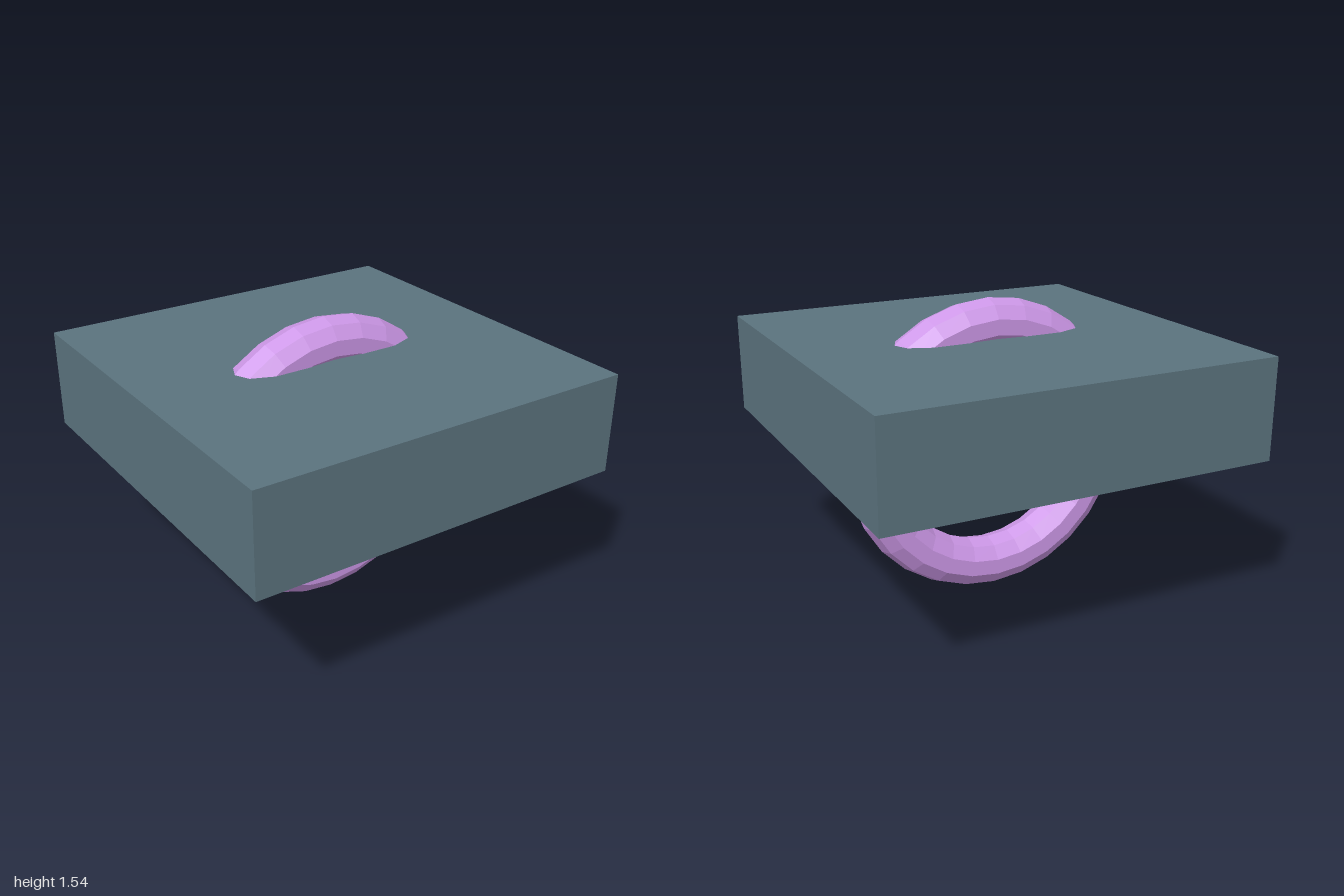
import * as THREE from 'three';

export function createModel() {
  const model = new THREE.Group();
  const slate = new THREE.MeshStandardMaterial({ color: 0x5b737e, flatShading: true });
  slate.name = 'slate';
  const lilac = new THREE.MeshStandardMaterial({ color: 0xcf99ea, flatShading: true });
  lilac.name = 'lilac';

  // Square slab that the ring passes through
  const slab = new THREE.Mesh(new THREE.BoxGeometry(2, 0.514, 2), slate);
  slab.name = 'slab';
  slab.position.y = 1.103;

  // Upright faceted ring, ten sides around the tube
  const ring = new THREE.Mesh(new THREE.TorusGeometry(0.643, 0.1285, 10, 28), lilac);
  ring.name = 'ring';
  ring.position.y = 0.778;

  model.add(slab, ring);
  return model;
}
